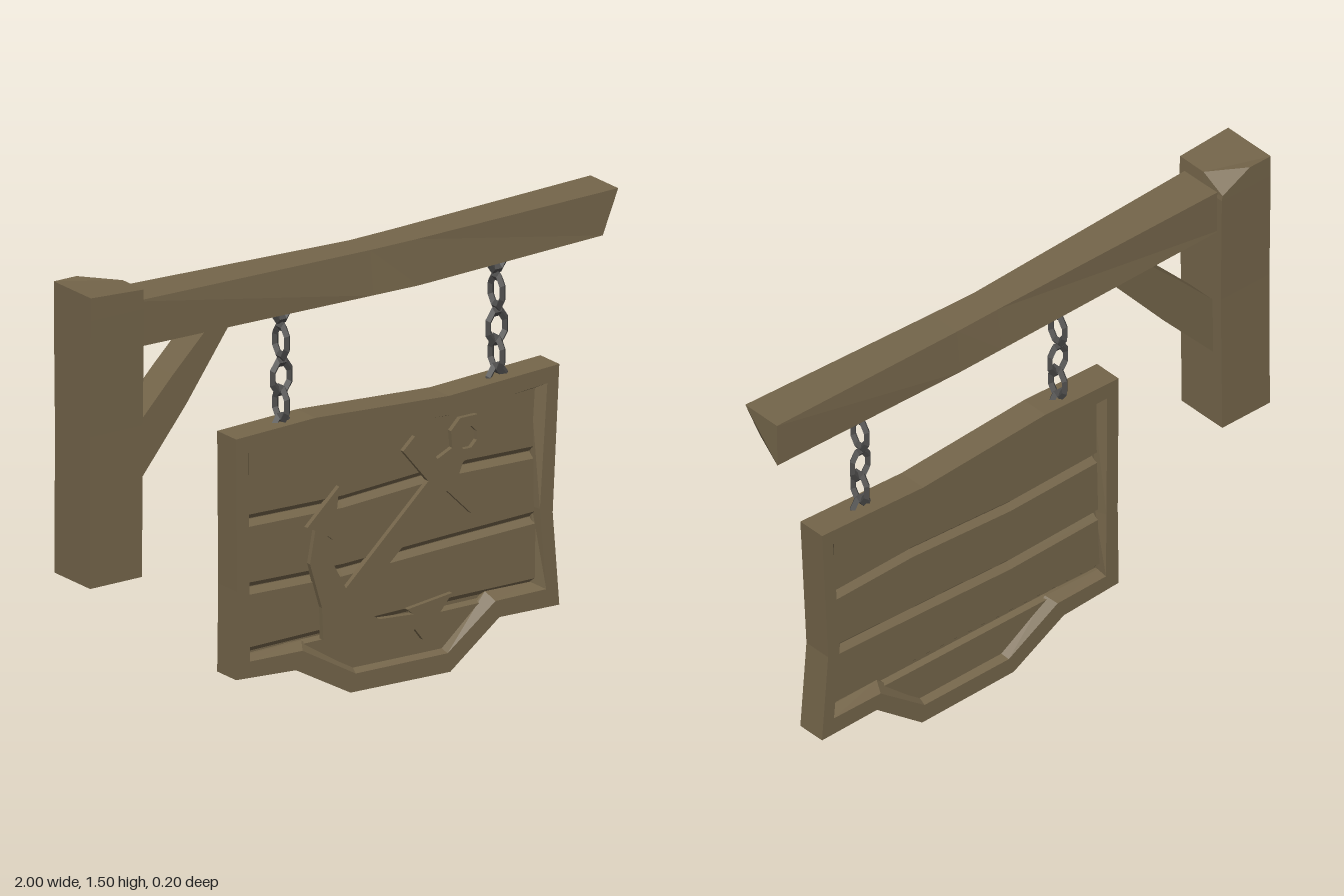
import * as THREE from 'three';

const wood = new THREE.MeshStandardMaterial({ color: 0x74654a });
wood.name = 'weathered wood';
const iron = new THREE.MeshStandardMaterial({ color: 0x4e4d4c });
iron.name = 'dark iron';

// Skins closed cross-sections (counter-clockwise around the sweep) with flat faces
function loft(sections, caps = true) {
  const out = [];
  const tri = (...pts) => pts.forEach((p) => out.push(...p));
  const n = sections[0].length;
  for (let i = 0; i < sections.length - 1; i++) {
    for (let j = 0; j < n; j++) {
      const k = (j + 1) % n;
      const [s, t] = [sections[i], sections[i + 1]];
      tri(s[j], s[k], t[k]);
      tri(s[j], t[k], t[j]);
    }
  }
  if (caps) {
    const [first, last] = [sections[0], sections[sections.length - 1]];
    for (let j = 1; j < n - 1; j++) {
      tri(first[0], first[j + 1], first[j]);
      tri(last[0], last[j], last[j + 1]);
    }
  }
  const g = new THREE.BufferGeometry();
  g.setAttribute('position', new THREE.Float32BufferAttribute(out, 3));
  g.computeVertexNormals();
  return g;
}

const toShape = (pts) => new THREE.Shape(pts.map(([x, y]) => new THREE.Vector2(x, y)));

function createPost() {
  // Extra corner points make the chipped top corner
  const ring = (y, w, d, chip = 0) => [
    [-0.805 + w, y - chip * 0.2, -0.01], [-0.805 + w, y - chip, -d], [-0.915, y, -d],
    [-1, y, -d], [-1, y, d], [-0.805 + w, y - chip * 0.2, d],
  ];
  return loft([ring(0.56, 0, 0.094), ring(1.05, 0.004, 0.092), ring(1.43, 0.005, 0.098), ring(1.503, 0.002, 0.098, 0.055)]);
}

function createBeam() {
  const ring = (x, top, bottom, zTop, zBottom, cut = 0) => [
    [x, top, zTop], [x - cut, bottom + cut * 0.15, zBottom], [x, bottom, -0.075], [x, top, -zTop],
  ];
  return loft([
    ring(-0.82, 1.45, 1.3, 0.075, 0.075),
    ring(0.08, 1.43, 1.288, 0.056, 0.073),
    ring(0.25, 1.432, 1.286, 0.06, 0.073),
    ring(1, 1.45, 1.3, 0.073, 0.073, 0.058),
  ]);
}

function createBrace() {
  const d = 0.054;
  return loft([
    [[-0.83, 1.0, d], [-0.83, 0.8, d], [-0.83, 0.8, -d], [-0.83, 1.0, -d]],
    [[-0.66, 1.175, d], [-0.61, 1.07, d], [-0.6, 1.05, -d], [-0.66, 1.175, -d]],
    [[-0.51, 1.32, d], [-0.43, 1.32, d], [-0.365, 1.32, -d], [-0.51, 1.32, -d]],
  ]);
}

function createFrame() {
  const outer = [
    [-0.42, 0.915], [-0.12, 0.925], [0.38, 0.895], [0.795, 0.915], [0.77, 0.44], [0.795, 0.135],
    [0.57, 0.14], [0.385, 0], [0.01, 0.008], [-0.195, 0.122], [-0.42, 0.135], [-0.416, 0.42],
  ];
  const inner = [
    [-0.373, 0.862], [-0.12, 0.866], [0.39, 0.832], [0.75, 0.862], [0.722, 0.46], [0.746, 0.195],
    [0.555, 0.195], [0.375, 0.062], [0.03, 0.066], [-0.17, 0.18], [-0.368, 0.185], [-0.37, 0.42],
  ];
  const recess = [
    [-0.345, 0.852], [-0.12, 0.856], [0.39, 0.818], [0.712, 0.84], [0.716, 0.46], [0.712, 0.215],
    [0.54, 0.22], [0.37, 0.075], [0.04, 0.08], [-0.15, 0.2], [-0.365, 0.195], [-0.355, 0.42],
  ];
  const at = (loop, z) => loop.map(([x, y]) => [x, y, z]);
  return loft([
    at(outer, 0.05), at(outer, -0.05), at(inner, -0.05), at(recess, -0.015),
    at(recess, 0.015), at(inner, 0.05), at(outer, 0.05),
  ], false);
}

// Bevelled planks whose wavy edges meet in V grooves
function createPlanks() {
  const xs = [-0.4, 0, 0.4, 0.755];
  const edges = [
    [0.9, 0.9, 0.87, 0.89], [0.632, 0.622, 0.645, 0.636],
    [0.412, 0.4, 0.415, 0.426], [0.2, 0.205, 0.21, 0.208],
  ];
  const line = (row) => xs.map((x, i) => [x, row[i]]);
  const outlines = [0, 1, 2].map((i) => [...line(edges[i + 1]), ...line(edges[i]).reverse()]);
  outlines.push([[0.02, 0.03], [0.4, 0.03], [0.6, 0.2], [-0.21, 0.2]]);
  return outlines.map((pts) => new THREE.ExtrudeGeometry(toShape(pts), {
    depth: 0.008, bevelEnabled: true, bevelThickness: 0.02, bevelSize: 0.02, bevelOffset: -0.02, bevelSegments: 1,
  }).translate(0, 0, -0.004));
}

function createAnchor() {
  const shape = toShape([
    // shank and left arm
    [0.31, 0.63], [0, 0.345], [-0.05, 0.44], [-0.07, 0.53], [-0.045, 0.51], [-0.025, 0.68], [-0.145, 0.57],
    [-0.115, 0.555], [-0.135, 0.45], [-0.09, 0.3], [-0.085, 0.195], [0.02, 0.19],
    // right arm
    [0.125, 0.145], [0.26, 0.16], [0.29, 0.12], [0.4, 0.25], [0.23, 0.23], [0.255, 0.21], [0.125, 0.22],
    [0.06, 0.27], [0.07, 0.31],
    // crossbar and ring
    [0.38, 0.585], [0.47, 0.495], [0.51, 0.54], [0.425, 0.63], [0.44, 0.665], [0.52, 0.71], [0.525, 0.765],
    [0.495, 0.81], [0.43, 0.81], [0.395, 0.775], [0.4, 0.72], [0.345, 0.695], [0.26, 0.785], [0.215, 0.745],
  ]);
  const hole = [];
  for (let i = 0; i < 8; i++) {
    const a = (i + 0.5) * Math.PI / 4;
    hole.push(new THREE.Vector2(0.457 + 0.038 * Math.cos(a), 0.742 + 0.038 * Math.sin(a)));
  }
  shape.holes.push(new THREE.Path(hole));
  return new THREE.ExtrudeGeometry(shape, { depth: 0.02, bevelEnabled: false }).translate(0, 0, 0.02);
}

function createChain(x) {
  const chain = new THREE.Group();
  const link = new THREE.TorusGeometry(0.034, 0.0115, 4, 8)
    .rotateZ(Math.PI / 8).scale(1, 1.5, 1).toNonIndexed();
  link.computeVertexNormals();
  [1.3, 1.18, 1.065, 0.975, 0.885].forEach((y, i) => {
    const mesh = new THREE.Mesh(link, iron);
    mesh.name = 'chainLink';
    mesh.position.set(x, y, 0);
    mesh.rotation.y = i % 2 ? Math.PI / 2 : 0;
    chain.add(mesh);
  });
  return chain;
}

export function createModel() {
  const model = new THREE.Group();
  model.name = 'hangingSign';
  const add = (name, geometry, parent = model) => {
    const mesh = new THREE.Mesh(geometry, wood);
    mesh.name = name;
    parent.add(mesh);
  };

  // Support
  add('post', createPost());
  add('beam', createBeam());
  add('brace', createBrace());

  // Sign board
  const board = new THREE.Group();
  board.name = 'signBoard';
  add('frame', createFrame(), board);
  createPlanks().forEach((g) => add('plank', g, board));
  add('plankBacking', new THREE.BoxGeometry(1.13, 0.7, 0.01).translate(0.18, 0.53, 0), board);
  add('anchorRelief', createAnchor(), board);
  model.add(board);

  // Chains
  [['rightChain', -0.215], ['leftChain', 0.595]].forEach(([name, x]) => {
    const chain = createChain(x);
    chain.name = name;
    model.add(chain);
  });
  return model;
}
